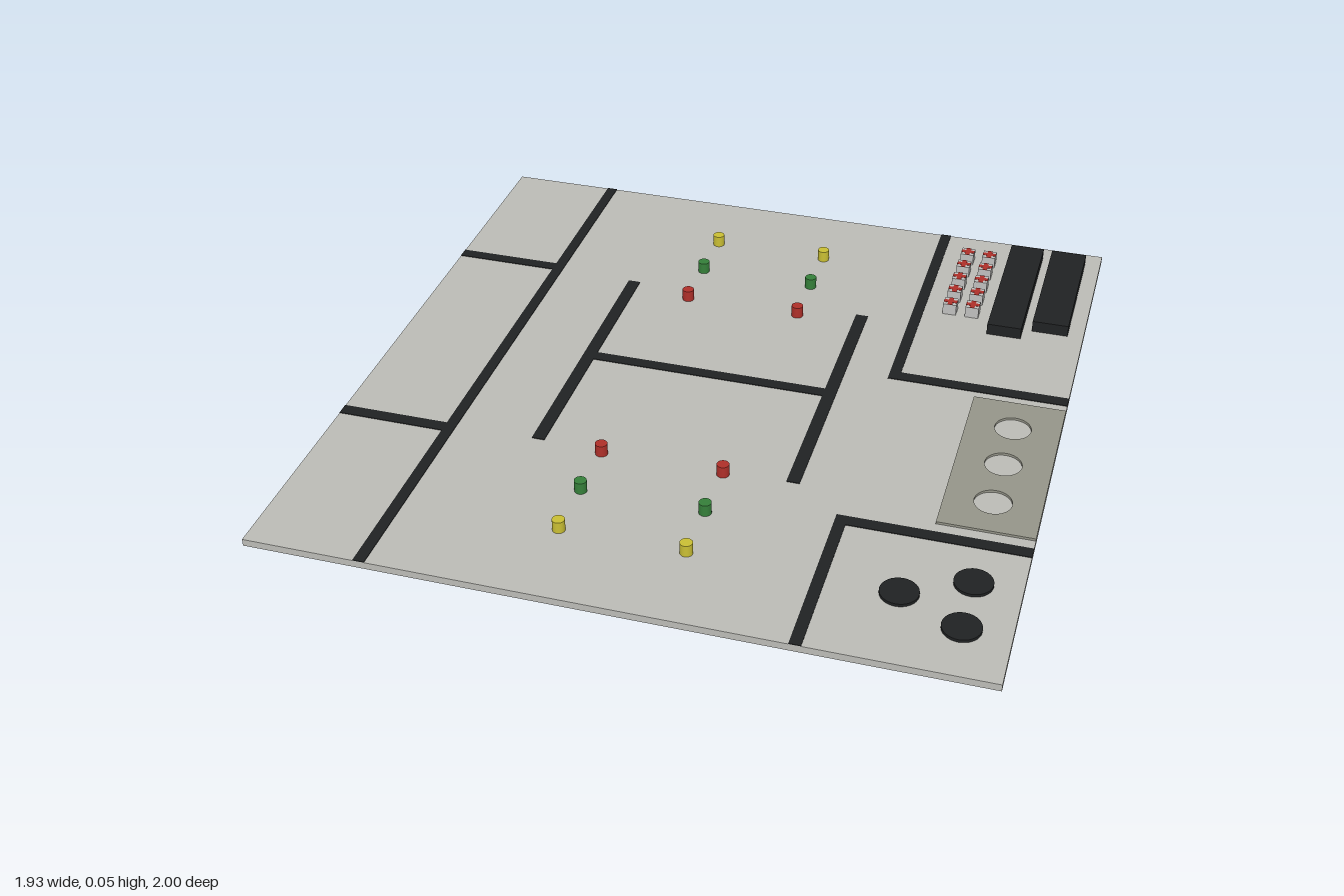
import * as THREE from 'three';

const mat = (name, color) => {
  const m = new THREE.MeshStandardMaterial({ color });
  m.name = name;
  return m;
};

export function createModel() {
  const root = new THREE.Group();
  root.name = 'playingField';
  const grey = mat('floorGrey', 0xbdbdb8);
  const taupe = mat('plateGrey', 0x96968a);
  const black = mat('black', 0x202223);
  const red = mat('red', 0xb0302a);
  const green = mat('green', 0x35803a);
  const yellow = mat('yellow', 0xcbc034);
  const pale = mat('cubeGrey', 0xc2c2c0);
  const FLOOR = 0.02, TOP = 0.054, W = 0.967;

  const add = (name, geo, material, x, y, z, parent = root) => {
    const mesh = new THREE.Mesh(geo, material);
    mesh.name = name;
    mesh.position.set(x, y, z);
    parent.add(mesh);
    return mesh;
  };
  // Box given by its extents
  const block = (name, material, x0, x1, y0, y1, z0, z1, parent) =>
    add(name, new THREE.BoxGeometry(x1 - x0, y1 - y0, z1 - z0), material,
      (x0 + x1) / 2, (y0 + y1) / 2, (z0 + z1) / 2, parent);

  block('floor', grey, -W, W, 0, FLOOR, -1, 1);

  // Black floor lines: x0, x1, z0, z1
  const lines = new THREE.Group();
  lines.name = 'floorLines';
  root.add(lines);
  [
    [-0.663, -0.632, -1, 1],
    [-W, -0.663, -0.495, -0.46],
    [-W, -0.663, 0.388, 0.425],
    [-0.414, -0.378, -0.46, 0.39],
    [0.299, 0.335, -0.46, 0.39],
    [-0.378, 0.299, -0.056, -0.02],
    [0.458, 0.489, -1, -0.157],
    [0.489, W, -0.194, -0.157],
    [0.458, 0.489, 0.49, 1],
    [0.489, W, 0.49, 0.526],
  ].forEach(([x0, x1, z0, z1]) =>
    block('floorLine', black, x0, x1, FLOOR, FLOOR + 0.002, z0, z1, lines));

  // Coloured pegs in two columns, both ends of the field
  const pegGeo = new THREE.CylinderGeometry(0.017, 0.017, TOP - FLOOR, 24);
  [[yellow, -0.75], [green, -0.58], [red, -0.411],
    [red, 0.405], [green, 0.574], [yellow, 0.743]].forEach(([m, z]) => {
    for (const x of [-0.209, 0.13]) add('peg', pegGeo, m, x, (FLOOR + TOP) / 2, z);
  });

  // Plate with three round holes (shape y maps to -z)
  const plate = new THREE.Shape();
  plate.moveTo(0.71, -0.457);
  plate.lineTo(W, -0.457);
  plate.lineTo(W, 0.125);
  plate.lineTo(0.71, 0.125);
  plate.closePath();
  for (const z of [-0.002, 0.167, 0.336]) {
    const hole = new THREE.Path();
    hole.absarc(0.838, -z, 0.05, 0, Math.PI * 2, true);
    plate.holes.push(hole);
  }
  const plateGeo = new THREE.ExtrudeGeometry(plate, { depth: 0.007, bevelEnabled: false, curveSegments: 32 });
  plateGeo.rotateX(-Math.PI / 2);
  add('holePlate', plateGeo, taupe, 0, FLOOR, 0);

  // Flat discs
  const discGeo = new THREE.CylinderGeometry(0.05, 0.05, 0.008, 32);
  for (const [x, z] of [[0.843, 0.664], [0.674, 0.749], [0.843, 0.834]])
    add('disc', discGeo, black, x, FLOOR + 0.004, z);

  // Long black boxes
  block('longBox', black, 0.69, 0.79, FLOOR, TOP, -0.94, -0.464);
  block('longBox', black, 0.816, 0.921, FLOOR, TOP, -0.94, -0.515);

  // Small cubes with a red cross on top
  const cubeGeo = new THREE.BoxGeometry(0.04, TOP - FLOOR, 0.04);
  const barGeo = new THREE.BoxGeometry(0.04, 0.001, 0.014);
  const armGeo = new THREE.BoxGeometry(0.014, 0.001, 0.013);
  for (const x of [0.565, 0.632]) {
    for (let i = 0; i < 5; i++) {
      const z = -0.862 + i * 0.0757;
      add('cube', cubeGeo, pale, x, (FLOOR + TOP) / 2, z);
      add('cubeCross', barGeo, red, x, TOP + 0.0005, z);
      for (const s of [-1, 1]) add('cubeCrossArm', armGeo, red, x, TOP + 0.0005, z + s * 0.0135);
    }
  }
  return root;
}
